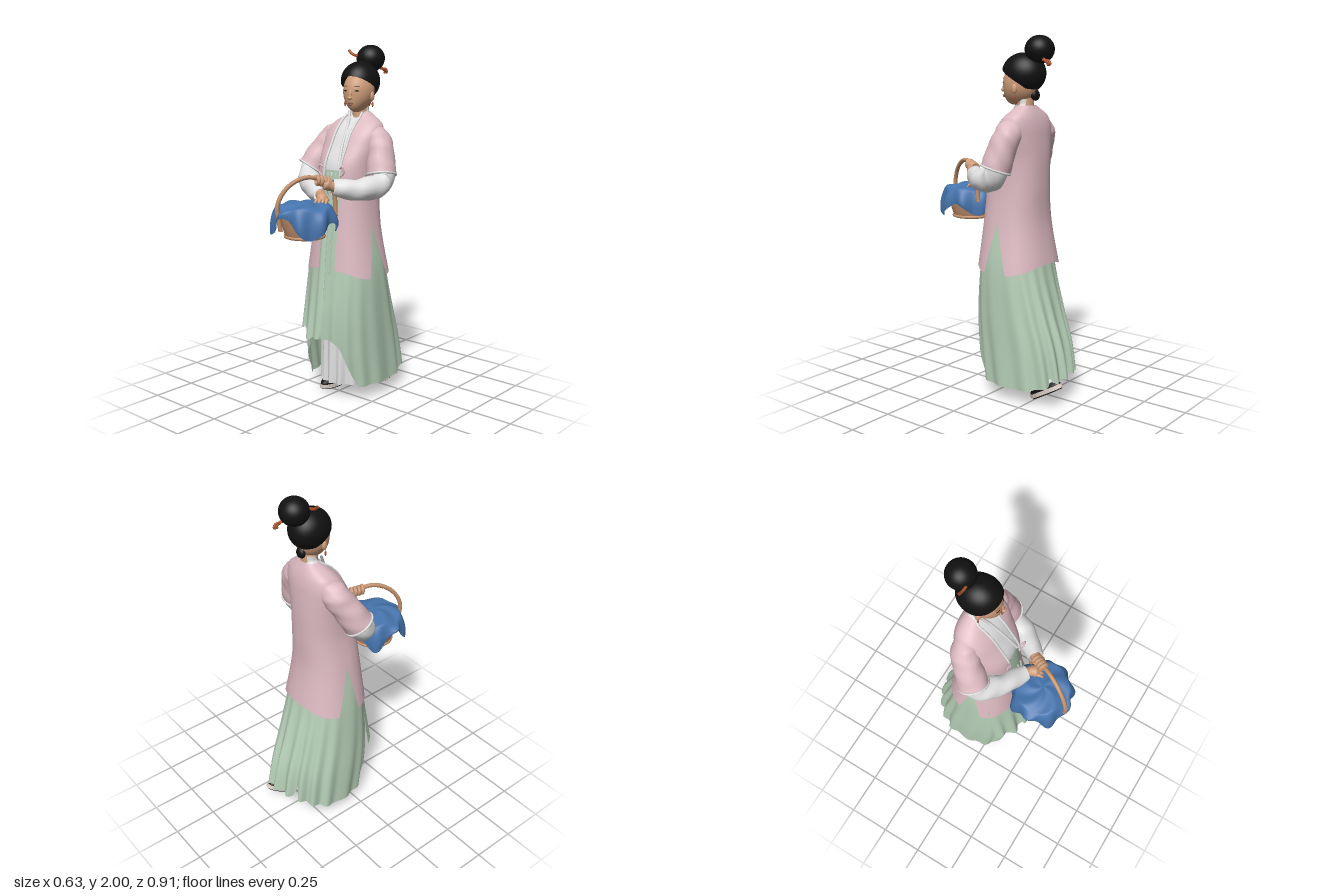
import * as THREE from 'three';
import { mergeVertices } from 'three/addons/utils/BufferGeometryUtils.js';

const { sin, cos, PI, abs, sign, max, min, exp, sqrt, acos, asin } = Math;
const lerp = THREE.MathUtils.lerp, clamp = THREE.MathUtils.clamp, smooth = THREE.MathUtils.smoothstep;
const V = (p) => new THREE.Vector3(...p);
const mat = (name, color) => {
  const m = new THREE.MeshStandardMaterial({ color, side: THREE.DoubleSide });
  m.name = name;
  return m;
};

export function createModel() {
  const root = new THREE.Group();
  root.name = 'womanWithBasket';
  const pink = mat('pink cloth', 0xdcb9c1), white = mat('white cloth', 0xe0e0e0), green = mat('green cloth', 0xb4cdb5);
  const blue = mat('blue cloth', 0x4674ad), skin = mat('skin', 0xcf9d7a), wicker = mat('wicker', 0xc4926d);
  const black = mat('black hair', 0x111111), orange = mat('orange pin', 0xb4562f), sole = mat('pale sole', 0xd6cbc2);
  const lip = mat('lips and brows', 0x8f5f4c);

  const add = (name, geo, material, parent = root) => {
    const m = new THREE.Mesh(geo, material);
    m.name = name;
    parent.add(m);
    return m;
  };
  // Smooth grid surface from a rule fn(u, v) -> [x, y, z]
  const surface = (fn, nu, nv) => {
    const pos = [], idx = [];
    for (let j = 0; j <= nv; j++) for (let i = 0; i <= nu; i++) pos.push(...fn(i / nu, j / nv));
    for (let j = 0; j < nv; j++) for (let i = 0; i < nu; i++) {
      const a = j * (nu + 1) + i, b = a + nu + 1;
      idx.push(a, b, a + 1, b, b + 1, a + 1);
    }
    let g = new THREE.BufferGeometry();
    g.setAttribute('position', new THREE.Float32BufferAttribute(pos, 3));
    g.setIndex(idx);
    g = mergeVertices(g, 1e-5);
    g.computeVertexNormals();
    return g;
  };
  // Round limb along a curve with a changing radius and optional wrinkles
  const limb = (pts, radii, wrinkle = 0, n = 24) => {
    const c = new THREE.CatmullRomCurve3(pts.map(V)), f = c.computeFrenetFrames(n);
    return surface((u, v) => {
      const k = v * (radii.length - 1), i = min(Math.floor(k), radii.length - 2), a = u * 2 * PI;
      const r = lerp(radii[i], radii[i + 1], k - i) + wrinkle * sin(v * 20 + 2 * sin(a)) * cos(a * 2 + v * 4);
      const q = Math.round(v * n);
      return c.getPoint(v).addScaledVector(f.normals[q], r * cos(a)).addScaledVector(f.binormals[q], r * sin(a)).toArray();
    }, 20, n);
  };
  const tube = (pts, r, n = 32) => new THREE.TubeGeometry(new THREE.CatmullRomCurve3(pts.map(V)), n, r, 8);
  const ball = (name, p, s, material, parent) => {
    const m = add(name, new THREE.SphereGeometry(1, 32, 20), material, parent);
    m.position.set(...p);
    m.scale.set(...s);
    return m;
  };
  // Body sections [y, centre x, half width, front z, back z], smoothly interpolated
  const sections = (rows) => {
    const ip = new THREE.CubicInterpolant(rows.map((r) => r[0]), rows.flatMap((r) => r.slice(1)), 4);
    return (y) => Array.from(ip.evaluate(clamp(y, rows[0][0], rows[rows.length - 1][0])));
  };
  const E = 0.85; // roundness of body sections
  const ring = ([cx, rx, zf, zb], a, y, inset = 0) => {
    const s = sin(a), c = cos(a);
    return [cx + (rx - inset) * sign(s) * abs(s) ** E, y, (zf + zb) / 2 + ((zf - zb) / 2 - inset) * sign(c) * abs(c) ** E];
  };

  // Jacket: two front panels and a back, with side slits
  const coat = sections([
    [0.71, 0.01, 0.232, 0.145, -0.282], [1.0, 0.01, 0.185, 0.115, -0.235], [1.2, 0.015, 0.162, 0.098, -0.235],
    [1.35, 0.015, 0.165, 0.085, -0.235], [1.45, 0.02, 0.175, 0.035, -0.23], [1.53, 0.025, 0.175, -0.01, -0.222],
    [1.58, 0.03, 0.145, -0.055, -0.208], [1.605, 0.035, 0.1, -0.08, -0.196], [1.63, 0.04, 0.06, -0.095, -0.185]]);
  const slit = (y) => max(0, 1.0 - y);
  const edge = (x, y) => {
    const [cx, rx] = coat(y), s = clamp((x - cx) / rx, -0.95, 0.95);
    return asin(sign(s) * abs(s) ** (1 / E));
  };
  const coatY = (a, v) => lerp(1.63, 0.765 - 0.045 * sin(a) ** 2, v);
  for (const [side, x] of [[1, 0.08], [-1, -0.03]]) {
    add('jacketFront', surface((u, v) => {
      const y = coatY(u * PI / 2, v);
      return ring(coat(y), lerp(edge(x, y), side * (PI / 2 - slit(y)), u), y);
    }, 20, 48), pink);
    const hemLine = [];
    for (let i = 0; i <= 14; i++) {
      const y = lerp(1.63, 1.28, i / 14);
      hemLine.push(ring(coat(y), edge(x, y), y, -0.002));
    }
    add('jacketCollarBand', tube(hemLine, 0.007), white);
    add('jacketTie', tube([[x + side * 0.005, 1.335, 0.09], [x + side * 0.03, 1.345, 0.1], [x + side * 0.035, 1.31, 0.098], [x + side * 0.012, 1.29, 0.1]], 0.005), pink);
  }
  add('jacketBack', surface((u, v) => {
    const y = coatY(PI / 2 + u * PI, v);
    return ring(coat(y), lerp(PI / 2 + slit(y), 1.5 * PI - slit(y), u), y);
  }, 40, 48), pink);

  // White inner robe with a low front neckline and crossed collar
  add('innerRobe', surface((u, v) => {
    const a = u * 2 * PI, y = lerp(1.665 - 0.05 * max(0, cos(a)), 1.26, v);
    return ring(coat(y), a, y, 0.012);
  }, 48, 24), white);
  add('crossedCollar', tube([[0.0, 1.64, -0.09], [0.02, 1.58, -0.058], [0.045, 1.45, 0.026], [0.065, 1.34, 0.08]], 0.008), white);

  // Pleated skirt, lifted at the front and trailing behind
  const skirtAt = sections([
    [0.08, 0, 0.222, 0.13, -0.42], [0.3, 0, 0.222, 0.155, -0.385], [0.5, 0.005, 0.218, 0.155, -0.325],
    [0.76, 0.01, 0.206, 0.13, -0.256], [1.0, 0.01, 0.174, 0.105, -0.225], [1.2, 0.015, 0.153, 0.09, -0.226], [1.32, 0.015, 0.158, 0.08, -0.228]]);
  add('skirt', surface((u, v) => {
    const a = u * 2 * PI, back = max(0, -cos(a));
    const hem = 0.08 + 0.28 * smooth(cos(a), 0.6, 1) + 0.07 * back ** 2 + 0.1 * exp(-(((a - 3.5) / 0.06) ** 2));
    const y = lerp(1.32, hem, v), t = clamp((0.95 - y) / 0.85, 0, 1) ** 1.2;
    const fold = 1 + (0.03 + 0.035 * back) * t * cos(17 * a + 1.6 * sin(2 * a));
    const s = skirtAt(y), p = ring(s, a, y), zc = (s[2] + s[3]) / 2;
    return [s[0] + (p[0] - s[0]) * fold, y, zc + (p[2] - zc) * fold - 0.25 * p[0] * back * t];
  }, 200, 40), green);
  add('underskirt', surface((u, v) => {
    const a = u * 2 * PI, fold = 1 + 0.06 * v * cos(14 * a + sin(3 * a));
    return [0.02 + lerp(0.17, 0.155, v) * fold * sin(a), lerp(0.65, 0.085, v), -0.08 + lerp(0.17, 0.18, v) * fold * cos(a)];
  }, 140, 12), white);
  // Loose overlapping front fold and hanging sash ends
  add('skirtFrontFold', surface((u, v) => {
    const x = -0.19 + 0.21 * u;
    return [x, lerp(0.8, 0.375 + 0.03 * sin(u * 9), v), 0.128 + 0.06 * v - 3 * (x + 0.02) ** 2 + 0.012 * v * sin(u * 16)];
  }, 40, 16), green);
  for (const [x, w, top, low, z0, z1] of [[0.0, 0.04, 1.0, 0.37, 0.125, 0.2], [0.035, 0.018, 1.2, 0.6, 0.105, 0.168], [0.06, 0.012, 1.2, 0.74, 0.105, 0.15]])
    add('sashEnd', surface((u, v) => [x + w * (u - 0.5), lerp(top, low, v), lerp(z0, z1, v) + 0.008 * sin(u * PI)], 6, 12), green);

  // Arms: short pink sleeves with pale cuffs, then full white sleeves
  const arms = [
    { upper: [[0.1, 1.52, -0.125], [0.165, 1.495, -0.125], [0.205, 1.42, -0.11], [0.235, 1.295, -0.08]],
      lower: [[0.23, 1.36, -0.09], [0.243, 1.26, -0.085], [0.2, 1.225, 0.05], [0.105, 1.242, 0.175]] },
    { upper: [[-0.06, 1.52, -0.125], [-0.125, 1.495, -0.12], [-0.175, 1.42, -0.08], [-0.22, 1.305, -0.015]],
      lower: [[-0.21, 1.36, -0.04], [-0.222, 1.27, 0.0], [-0.13, 1.22, 0.085], [0.015, 1.185, 0.165]] }];
  for (const { upper, lower } of arms) {
    add('jacketSleeve', limb(upper, [0.05, 0.074, 0.077, 0.084], 0.003), pink);
    const end = V(upper[3]), dir = end.clone().sub(V(upper[2])).normalize();
    const cuff = add('sleeveCuff', new THREE.TorusGeometry(0.083, 0.006, 8, 36), white);
    cuff.position.copy(end);
    cuff.quaternion.setFromUnitVectors(new THREE.Vector3(0, 0, 1), dir);
    add('innerSleeve', limb(lower, [0.055, 0.067, 0.062, 0.045], 0.004, 36), white);
  }
  // Left hand gripping the handle, right hand resting on the cloth
  add('leftHand', limb([[0.12, 1.24, 0.15], [0.1, 1.25, 0.185], [0.085, 1.262, 0.21], [0.07, 1.265, 0.225]], [0.026, 0.027, 0.032, 0.012]), skin);
  for (let i = 0; i < 4; i++) {
    const finger = add('leftFinger', new THREE.TorusGeometry(0.021, 0.0105, 8, 20), skin);
    finger.position.set(0.086 - i * 0.0085, 1.272 + i * 0.004, 0.19 + i * 0.019);
    finger.rotation.y = -0.45;
  }
  add('rightHand', limb([[-0.01, 1.19, 0.15], [0.03, 1.182, 0.175], [0.055, 1.175, 0.205], [0.065, 1.168, 0.225]], [0.027, 0.025, 0.034, 0.018]), skin);
  for (let i = 0; i < 4; i++)
    add('rightFinger', limb([[0.04 + i * 0.014, 1.175, 0.215 - i * 0.007], [0.046 + i * 0.017, 1.172, 0.24 - i * 0.008], [0.05 + i * 0.018, 1.155, 0.262 - i * 0.01]], [0.011, 0.01, 0.005], 0, 8), skin);

  // Basket, handle and draped cloth
  const basket = new THREE.Group();
  basket.name = 'basket';
  basket.position.set(0, 0, 0.285);
  root.add(basket);
  add('basketBowl', new THREE.LatheGeometry([[0, 0.97], [0.1, 0.97], [0.108, 0.985], [0.125, 1.04], [0.142, 1.12], [0.135, 1.125], [0, 1.12]].map((p) => new THREE.Vector2(...p)), 40), wicker, basket);
  const foot = add('basketFoot', new THREE.TorusGeometry(0.106, 0.009, 8, 40), wicker, basket);
  foot.rotation.x = PI / 2;
  foot.position.y = 0.98;
  add('basketHandle', tube([[-0.035, 1.02, 0.435], [-0.042, 1.16, 0.45], [-0.015, 1.255, 0.4], [0.03, 1.302, 0.31], [0.072, 1.282, 0.22], [0.1, 1.22, 0.165], [0.105, 1.08, 0.15]], 0.012, 48), wicker);
  add('basketCloth', surface((u, v) => {
    const a = (u * 2 - 1) * PI, k = min(v / 0.55, 1), w = max(0, (v - 0.55) / 0.45);
    const drop = 0.1 + 0.05 * cos(4 * (a - 0.85)) + 0.04 * exp(-4 * (a - 1.3) ** 2);
    const r = 0.152 * k + (0.03 + 0.012 * cos(9 * a + 1)) * sin(w * PI * 0.6);
    const y = 1.168 - 0.022 * k * k - drop * w ** 1.2 + 0.008 * k * sin(5 * a + 9 * v);
    return [r * sin(a), y, r * cos(a) * 0.95];
  }, 96, 30), blue, basket);

  // Head, turned slightly to its left
  add('neck', new THREE.CylinderGeometry(0.042, 0.05, 0.16, 24), skin).position.set(0.043, 1.62, -0.135);
  const head = new THREE.Group();
  head.name = 'head';
  head.position.set(0.05, 1.745, -0.11);
  head.rotation.y = 0.2;
  root.add(head);
  add('face', surface((u, v) => {
    const a = u * 2 * PI, y = cos(v * PI), r = sqrt(max(0, 1 - y * y)), low = max(0, -y);
    const front = max(0, cos(a));
    return [0.084 * r * sin(a) * (1 - 0.2 * low * low), 0.113 * y, 0.1 * r * cos(a) + 0.035 * low * low * (0.4 + front * 0.6)];
  }, 40, 28), skin, head);
  ball('noseBridge', [0, -0.012, 0.1], [0.009, 0.028, 0.009], skin, head).rotation.x = -0.2;
  ball('noseTip', [0, -0.033, 0.107], [0.014, 0.01, 0.011], skin, head);
  ball('upperLip', [0, -0.062, 0.1], [0.018, 0.004, 0.007], lip, head);
  ball('lowerLip', [0, -0.069, 0.099], [0.014, 0.005, 0.007], lip, head);
  for (const s of [-1, 1]) {
    ball('eye', [s * 0.034, 0.006, 0.089], [0.014, 0.004, 0.004], black, head).rotation.y = s * 0.4;
    ball('brow', [s * 0.035, 0.03, 0.087], [0.018, 0.003, 0.004], lip, head).rotation.y = s * 0.4;
    ball('ear', [s * 0.083, -0.025, 0], [0.011, 0.026, 0.016], skin, head);
    ball('earring', [s * 0.087, -0.07, 0.002], [0.005, 0.016, 0.005], orange, head);
  }
  // Swept-up hair with a rising front hairline, bun and pin
  add('hair', surface((u, v) => {
    const a = u * 2 * PI, lim = acos(clamp((-0.045 + 0.075 * cos(a)) / 0.11, -0.98, 1)), p = v * lim;
    return [0.106 * sin(p) * sin(a), 0.055 + 0.11 * cos(p), -0.018 + 0.122 * sin(p) * cos(a)];
  }, 48, 24), black, head);
  ball('hairBun', [0.04, 1.925, -0.225], [0.08, 0.075, 0.08], black);
  ball('napeHair', [0.035, 1.685, -0.195], [0.03, 0.03, 0.02], black);
  add('hairPin', tube([[-0.07, 1.97, -0.165], [-0.045, 1.95, -0.165], [0.0, 1.935, -0.17], [0.05, 1.9, -0.24], [0.08, 1.865, -0.29], [0.08, 1.85, -0.32]], 0.008), orange);
  add('hairPinLoop', tube([[0.075, 1.87, -0.27], [0.08, 1.865, -0.315], [0.08, 1.848, -0.322], [0.078, 1.845, -0.3]], 0.006), orange);

  // Shoes: the right one flat, the left one pushing off behind
  for (const [name, x, y, z, pitch] of [['rightShoe', -0.09, 0, -0.058, 0], ['leftShoe', 0.11, 0.06, -0.345, 0.52]]) {
    const shoe = new THREE.Group();
    shoe.name = name;
    shoe.position.set(x, y, z);
    shoe.rotation.x = pitch;
    root.add(shoe);
    for (const [part, r, h, py, m] of [['tread', 0.046, 0.006, 0.003, black], ['sole', 0.05, 0.022, 0.017, sole]]) {
      const s = add(part, new THREE.CylinderGeometry(r, r, h, 32), m, shoe);
      s.position.y = py;
      s.scale.z = 2.3;
    }
    const upper = add('shoeUpper', new THREE.SphereGeometry(1, 32, 12, 0, 2 * PI, 0, PI / 2), black, shoe);
    upper.position.y = 0.026;
    upper.scale.set(0.047, 0.045, 0.11);
    const sock = add('sock', new THREE.CylinderGeometry(0.036, 0.038, 0.14, 20), white, shoe);
    sock.position.set(0, 0.125, -0.05);
  }
  return root;
}
